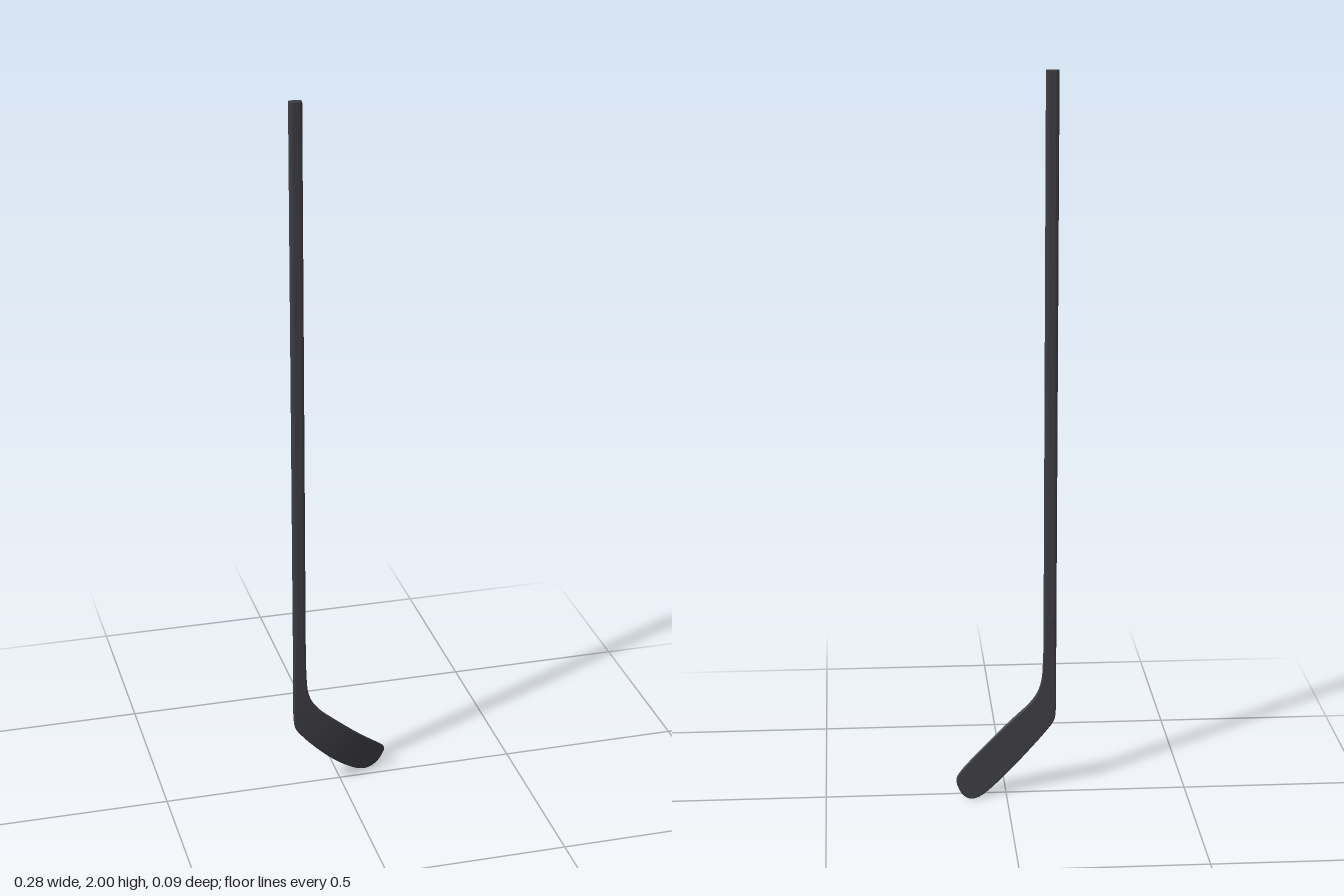
import * as THREE from 'three';

// Sideways bow: depth depends on distance along the blade's diagonal
function bow(x, y) {
  const u = Math.max(0, 0.75 * x - 0.66 * y + 0.25);
  return 0.0325 - 0.9 * Math.pow(u, 2.26);
}

// Rounded rectangle outline: p runs 0..1 from lower to upper edge, d is depth
function section(width, thick) {
  const r = Math.min(thick * 0.36, width * 0.45);
  const pts = [];
  const corner = (cx, cy, a0) => {
    for (let i = 0; i <= 3; i++) {
      const a = a0 + (i / 3) * Math.PI / 2;
      pts.push([(cx + r * Math.cos(a)) / width, cy + r * Math.sin(a)]);
    }
  };
  const side = (from, to, d) => {
    for (let i = 1; i < 8; i++) pts.push([(from + (to - from) * i / 8) / width, d]);
  };
  const h = thick / 2;
  corner(width - r, h - r, 0);
  side(width - r, r, h);
  corner(r, h - r, Math.PI / 2);
  corner(r, r - h, Math.PI);
  side(r, width - r, -h);
  corner(width - r, r - h, Math.PI * 1.5);
  return pts;
}

// Loft through stations [upperX, upperY, lowerX, lowerY, thickness]
function loft(stations, steps) {
  const upper = new THREE.CatmullRomCurve3(stations.map(s => new THREE.Vector3(s[0], s[1], 0)));
  const lower = new THREE.CatmullRomCurve3(stations.map(s => new THREE.Vector3(s[2], s[3], 0)));
  const pos = [], idx = [];
  let n = 0;
  for (let i = 0; i <= steps; i++) {
    const t = i / steps;
    const k = Math.min(stations.length - 2, Math.floor(t * (stations.length - 1)));
    const f = t * (stations.length - 1) - k;
    const thick = THREE.MathUtils.lerp(stations[k][4], stations[k + 1][4], f);
    const u = upper.getPoint(t), l = lower.getPoint(t);
    const ring = section(u.distanceTo(l), thick);
    n = ring.length;
    for (const [p, d] of ring) {
      const x = l.x + (u.x - l.x) * p, y = l.y + (u.y - l.y) * p;
      pos.push(x, y, bow(x, y) + d);
    }
  }
  for (let i = 0; i < steps; i++) {
    for (let j = 0; j < n; j++) {
      const a = i * n + j, b = i * n + (j + 1) % n;
      idx.push(a, b, a + n, b, b + n, a + n);
    }
  }
  // End caps with their own vertices, so their rims stay crisp
  for (const [row, flip] of [[0, false], [steps, true]]) {
    const base = pos.length / 3;
    const c = [0, 0, 0];
    for (let j = 0; j < n; j++) {
      for (let m = 0; m < 3; m++) {
        const v = pos[(row * n + j) * 3 + m];
        pos.push(v);
        c[m] += v / n;
      }
    }
    pos.push(...c);
    for (let j = 0; j < n; j++) {
      const a = base + j, b = base + (j + 1) % n;
      if (flip) idx.push(base + n, a, b);
      else idx.push(base + n, b, a);
    }
  }
  // Orient all faces outward by checking the enclosed volume
  const P = i => new THREE.Vector3().fromArray(pos, i * 3);
  let volume = 0;
  for (let i = 0; i < idx.length; i += 3) {
    volume += P(idx[i]).dot(P(idx[i + 1]).cross(P(idx[i + 2])));
  }
  if (volume < 0) idx.reverse();

  const geo = new THREE.BufferGeometry();
  geo.setAttribute('position', new THREE.Float32BufferAttribute(pos, 3));
  geo.setIndex(idx);
  geo.computeVertexNormals();
  return geo;
}

export function createModel() {
  const group = new THREE.Group();
  group.name = 'hockeyStick';
  const material = new THREE.MeshStandardMaterial({ color: 0x3c3c42 });
  const add = (name, geometry) => {
    const mesh = new THREE.Mesh(geometry, material);
    mesh.name = name;
    group.add(mesh);
  };

  // Long straight shaft with softened corners
  add('shaft', loft([
    [-0.106, 2, -0.141, 2, 0.023],
    [-0.106, 1.25, -0.141, 1.25, 0.022],
    [-0.106, 0.5, -0.141, 0.5, 0.021],
  ], 8));

  // Hosel, heel and curved blade, thinning to a rounded toe
  add('blade', loft([
    [-0.106, 0.5, -0.141, 0.5, 0.021],
    [-0.105, 0.38, -0.141, 0.32, 0.018],
    [-0.100, 0.315, -0.141, 0.235, 0.016],
    [-0.088, 0.28, -0.136, 0.2, 0.014],
    [-0.066, 0.25, -0.115, 0.17, 0.012],
    [-0.03, 0.217, -0.07, 0.12, 0.011],
    [0.015, 0.177, -0.02, 0.071, 0.0095],
    [0.06, 0.137, 0.03, 0.03, 0.009],
    [0.105, 0.098, 0.062, 0.009, 0.008],
    [0.128, 0.077, 0.085, 0.001, 0.008],
    [0.138, 0.064, 0.105, 0.003, 0.0075],
    [0.14, 0.053, 0.125, 0.018, 0.007],
    [0.138, 0.044, 0.132, 0.03, 0.005],
  ], 72));

  return group;
}
